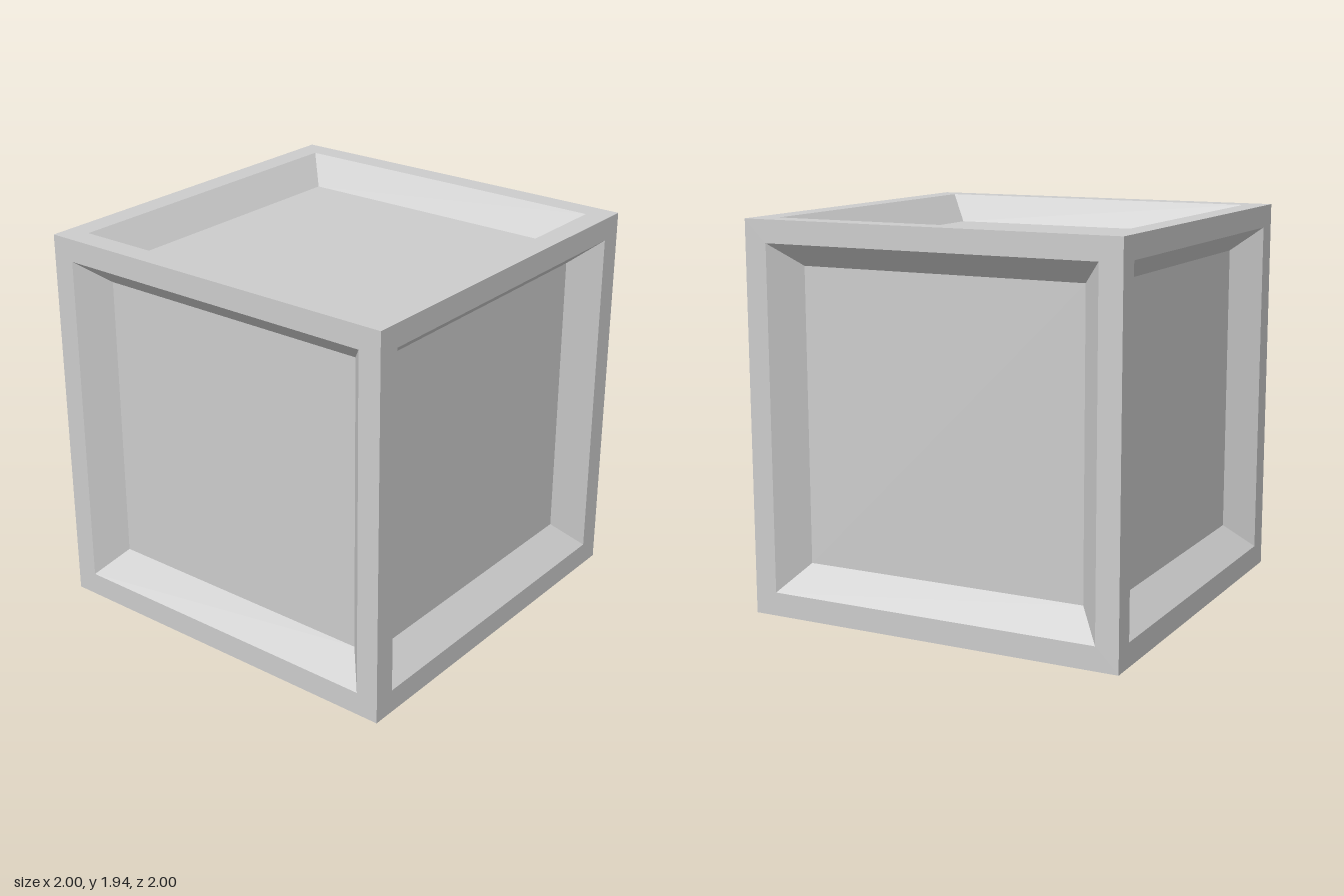
import * as THREE from 'three';

const HALF = 0.97;      // half the cube's edge
const OPENING = 0.855;  // half the recess opening
const FLOOR = 0.733;    // half the recess floor
const DEPTH = 0.138;    // recess depth

const material = new THREE.MeshStandardMaterial({ color: 0xcccccc, flatShading: true });

// Square loop of corners, counter-clockwise as seen from +z
const square = (half, z, lift = 0) =>
  [[-1, -1], [1, -1], [1, 1], [-1, 1]].map(([x, y]) => [x * half, y * half + lift, z]);

// One face facing +z: rim, sloping recess walls and sunken floor
function recessedFace(openingLift, floorLift) {
  const loops = [
    square(HALF, HALF),
    square(OPENING, HALF, openingLift),
    square(FLOOR, HALF - DEPTH, floorLift),
  ];
  const positions = [];
  const quad = (a, b, c, d) => positions.push(...a, ...b, ...c, ...a, ...c, ...d);
  for (let l = 0; l < 2; l++) {
    for (let i = 0; i < 4; i++) {
      const j = (i + 1) % 4;
      quad(loops[l][i], loops[l][j], loops[l + 1][j], loops[l + 1][i]);
    }
  }
  quad(...loops[2]);
  const geometry = new THREE.BufferGeometry();
  geometry.setAttribute('position', new THREE.Float32BufferAttribute(positions, 3));
  geometry.computeVertexNormals();
  return geometry;
}

export function createModel() {
  const model = new THREE.Group();
  model.name = 'recessedCube';

  const add = (name, geometry) => {
    const mesh = new THREE.Mesh(geometry, material);
    mesh.name = name;
    model.add(mesh);
  };

  // Four side panels
  ['frontPanel', 'leftPanel', 'backPanel', 'rightPanel'].forEach((name, i) =>
    add(name, recessedFace(0.003, 0.011).rotateY(i * Math.PI / 2)));

  // Top panel and plain base
  add('topPanel', recessedFace(0, 0).rotateX(-Math.PI / 2));
  add('base', new THREE.PlaneGeometry(2 * HALF, 2 * HALF)
    .rotateX(Math.PI / 2).translate(0, -HALF, 0));

  // Stand on the ground, turned slightly
  model.position.y = HALF;
  model.rotation.y = -0.031;

  const root = new THREE.Group();
  root.name = 'cube';
  root.add(model);
  return root;
}
